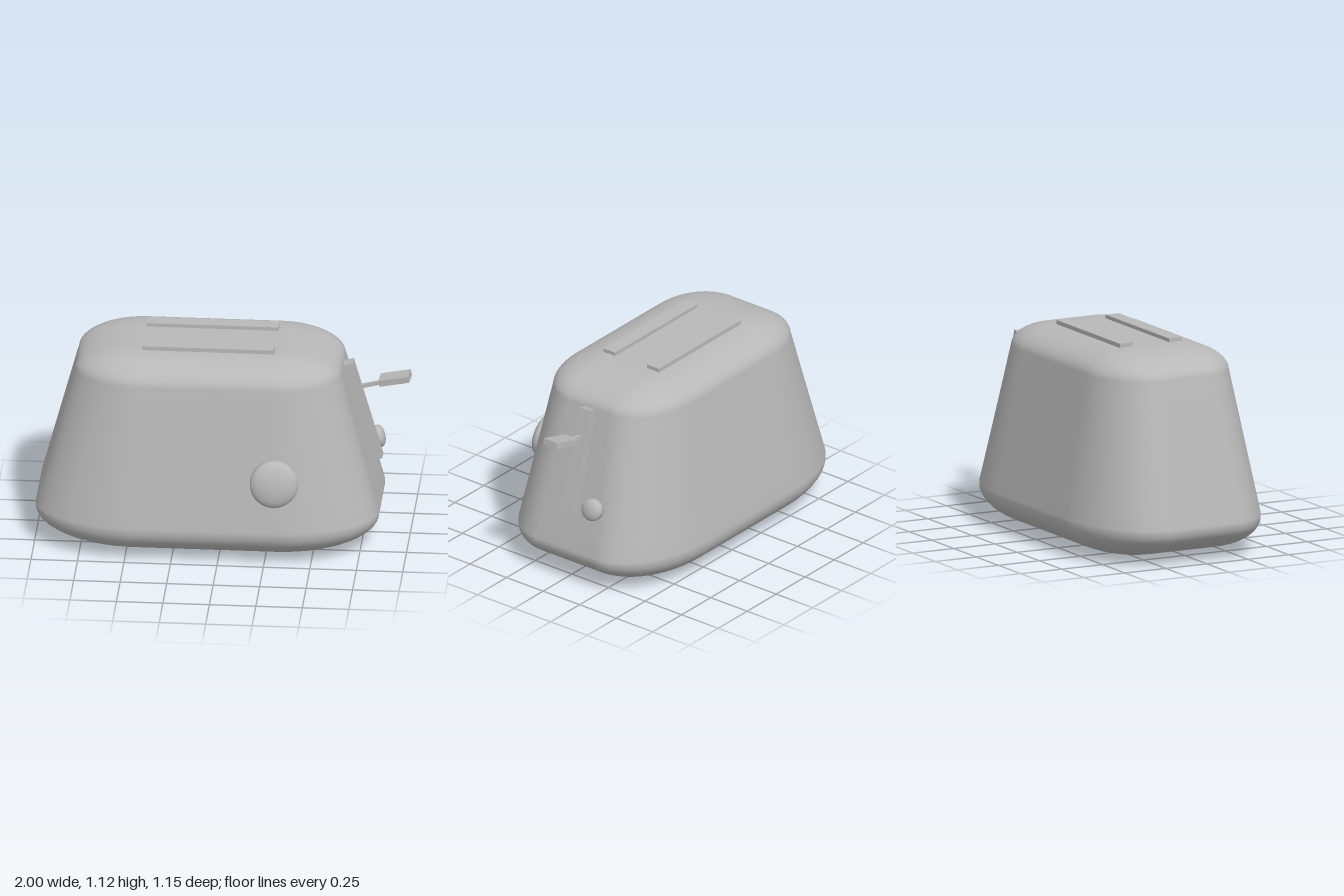
import * as THREE from 'three';

const metal = new THREE.MeshStandardMaterial({ color: 0xb8b8b8 });
metal.name = 'grey metal';

function add(group, name, geometry, x = 0, y = 0, z = 0) {
  const mesh = new THREE.Mesh(geometry, metal);
  mesh.name = name;
  mesh.position.set(x, y, z);
  group.add(mesh);
  return mesh;
}

// One horizontal section: straight half lengths sx, sz and elliptical corners rx, rz
function ring(y, sx, sz, rx, rz, steps = 12) {
  const points = [];
  for (let q = 0; q < 4; q++) {
    const signX = q === 0 || q === 3 ? 1 : -1;
    const signZ = q < 2 ? 1 : -1;
    for (let i = 0; i <= steps; i++) {
      const t = (q + i / steps) * Math.PI / 2;
      points.push([signX * sx + rx * Math.cos(t), y, signZ * sz + rz * Math.sin(t)]);
    }
  }
  return points;
}

function loft(rings) {
  const n = rings[0].length;
  const vertices = rings.flat();
  const index = [];
  for (let j = 0; j < rings.length - 1; j++) {
    for (let i = 0; i < n; i++) {
      const a = j * n + i, b = j * n + (i + 1) % n;
      index.push(a, a + n, b, b, a + n, b + n);
    }
  }
  const last = (rings.length - 1) * n;
  const bottom = vertices.length, top = bottom + 1;
  vertices.push([0, rings[0][0][1], 0], [0, rings[rings.length - 1][0][1], 0]);
  for (let i = 0; i < n; i++) {
    const k = (i + 1) % n;
    index.push(bottom, i, k, top, last + k, last + i);
  }
  const geometry = new THREE.BufferGeometry();
  geometry.setAttribute('position', new THREE.Float32BufferAttribute(vertices.flat(), 3));
  geometry.setIndex(index);
  geometry.computeVertexNormals();
  return geometry;
}

// Curved base, tapering walls and domed top
function bodyGeometry() {
  const rings = [];
  const steps = 12;
  for (let i = 0; i <= steps; i++) {
    const a = (1 - i / steps) * Math.PI / 2;
    const c = Math.max(Math.cos(a), 0.03);
    rings.push(ring(0.185 * (1 - Math.sin(a)), 0.38, 0.2, 0.543 * c, 0.343 * c));
  }
  for (let i = 0; i <= 8; i++) {
    const t = i / 8, m = THREE.MathUtils.lerp;
    rings.push(ring(m(0.205, 0.95, t), m(0.38, 0.36, t), m(0.2, 0.14, t),
      m(0.542, 0.363, t), m(0.342, 0.27, t)));
  }
  for (let i = 0; i <= steps; i++) {
    const a = i / steps * Math.PI / 2;
    const c = Math.max(Math.cos(a), 0.03);
    rings.push(ring(0.968 + 0.134 * Math.sin(a), 0.36, 0.14, 0.357 * c, 0.266 * c));
  }
  return loft(rings);
}

// Round knob with a softly domed face, height along y
function knobGeometry(radius, side, dome) {
  const profile = [[0, 0], [0.93, 0], [0.98, side * 0.3], [1, side * 0.8]]
    .map(([r, y]) => new THREE.Vector2(r * radius, y));
  for (let i = 0; i <= 10; i++) {
    const a = i / 10 * Math.PI / 2;
    profile.push(new THREE.Vector2(radius * Math.cos(a), side + dome * Math.sin(a)));
  }
  profile[profile.length - 1].x = 0;
  return new THREE.LatheGeometry(profile, 40);
}

function aim(mesh, x, y, z) {
  mesh.quaternion.setFromUnitVectors(new THREE.Vector3(0, 1, 0), new THREE.Vector3(x, y, z).normalize());
}

export function createModel() {
  const toaster = new THREE.Group();
  toaster.name = 'toaster';

  add(toaster, 'body', bodyGeometry(), -0.077, 0, -0.028);

  // Bread slots
  for (const z of [0.118, -0.18]) {
    add(toaster, 'breadSlot', new THREE.BoxGeometry(0.71, 0.05, 0.08), -0.075, 1.097, z);
  }

  // Lever track lying on the sloped end wall
  const track = add(toaster, 'leverTrack', new THREE.BoxGeometry(0.06, 0.576, 0.072), 0.741, 0.703, -0.039);
  track.rotation.z = 0.28;

  // Lever rod and handle
  const rod = add(toaster, 'leverRod', new THREE.BoxGeometry(0.14, 0.02, 0.02), 0.782, 0.85, -0.044);
  rod.rotation.z = 0.24;
  const handle = add(toaster, 'leverHandle', new THREE.BoxGeometry(0.166, 0.035, 0.095), 0.914, 0.888, -0.052);
  handle.rotation.set(0.04, -0.09, 0.23);

  // Browning dial on the front, small button on the end
  const dial = add(toaster, 'browningDial', knobGeometry(0.13, 0.055, 0.05), 0.303, 0.49, 0.465);
  aim(dial, 0.11, 0.17, 1);
  const button = add(toaster, 'endButton', knobGeometry(0.061, 0.035, 0.03), 0.787, 0.473, -0.187);
  aim(button, 1, 0.22, -0.08);

  return toaster;
}
